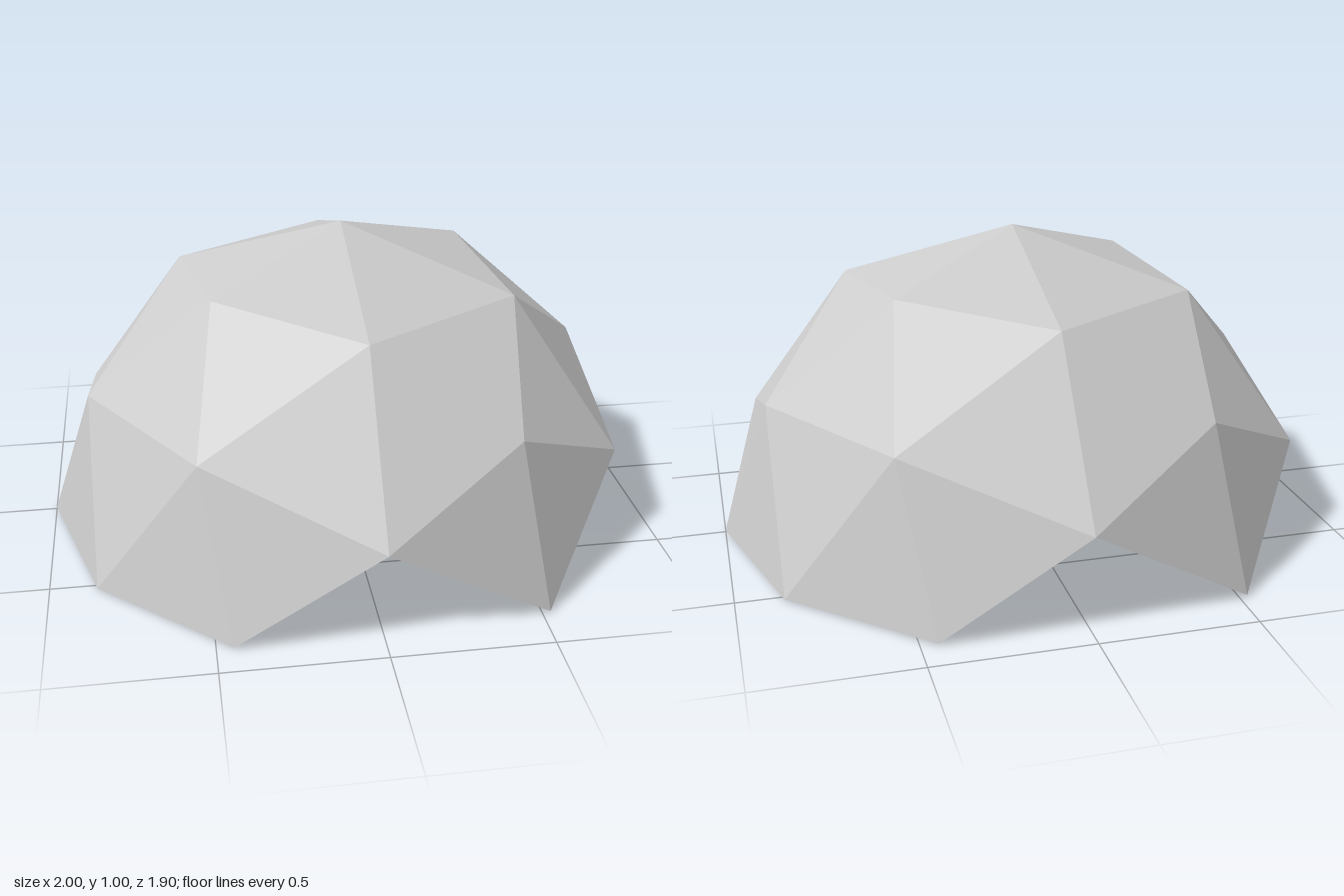
import * as THREE from 'three';

const shell = new THREE.MeshStandardMaterial({ color: 0xcccccc, flatShading: true, side: THREE.DoubleSide });
shell.name = 'light grey';

// Geodesic panels: a subdivided icosahedron, edge up, keeping only faces wholly above the ground
function domeGeometry() {
  const full = new THREE.IcosahedronGeometry(1, 1);
  full.rotateY(Math.atan(2) / 2);
  const p = full.attributes.position;
  const kept = [];
  for (let i = 0; i < p.count; i += 3) {
    if (Math.min(p.getY(i), p.getY(i + 1), p.getY(i + 2)) < -0.01) continue;
    for (let k = i; k < i + 3; k++) kept.push(p.getX(k), p.getY(k), p.getZ(k));
  }
  const geo = new THREE.BufferGeometry();
  geo.setAttribute('position', new THREE.Float32BufferAttribute(kept, 3));
  geo.computeVertexNormals();
  return geo;
}

function addPart(parent, name, geometry, x, y, z) {
  const mesh = new THREE.Mesh(geometry, shell);
  mesh.name = name;
  mesh.position.set(x, y, z);
  parent.add(mesh);
  return mesh;
}

export function createModel() {
  const model = new THREE.Group();
  model.name = 'geodesicDome';

  addPart(model, 'domeShell', domeGeometry(), 0, 0.005, 0);

  // Tiny vehicle parked at the middle of the dome, facing front
  const vehicle = new THREE.Group();
  vehicle.name = 'vehicle';
  model.add(vehicle);
  const box = (name, w, h, d, y, z) => addPart(vehicle, name, new THREE.BoxGeometry(w, h, d), 0, y, z);
  box('chassis', 0.03, 0.008, 0.145, 0.016, 0.065);
  box('hood', 0.034, 0.018, 0.04, 0.029, 0.115);
  box('cab', 0.038, 0.045, 0.035, 0.0425, 0.08);
  box('bedFloor', 0.036, 0.005, 0.07, 0.0225, 0.027);
  box('tailgate', 0.036, 0.018, 0.004, 0.034, -0.006);

  // Bed sides and wheels, mirrored
  for (const side of [-1, 1]) {
    addPart(vehicle, 'bedSide', new THREE.BoxGeometry(0.004, 0.018, 0.07), side * 0.017, 0.034, 0.027);
    for (const z of [0.015, 0.11]) {
      const wheel = new THREE.CylinderGeometry(0.012, 0.012, 0.008, 12).rotateZ(Math.PI / 2);
      addPart(vehicle, 'wheel', wheel, side * 0.017, 0.012, z);
    }
  }
  return model;
}
